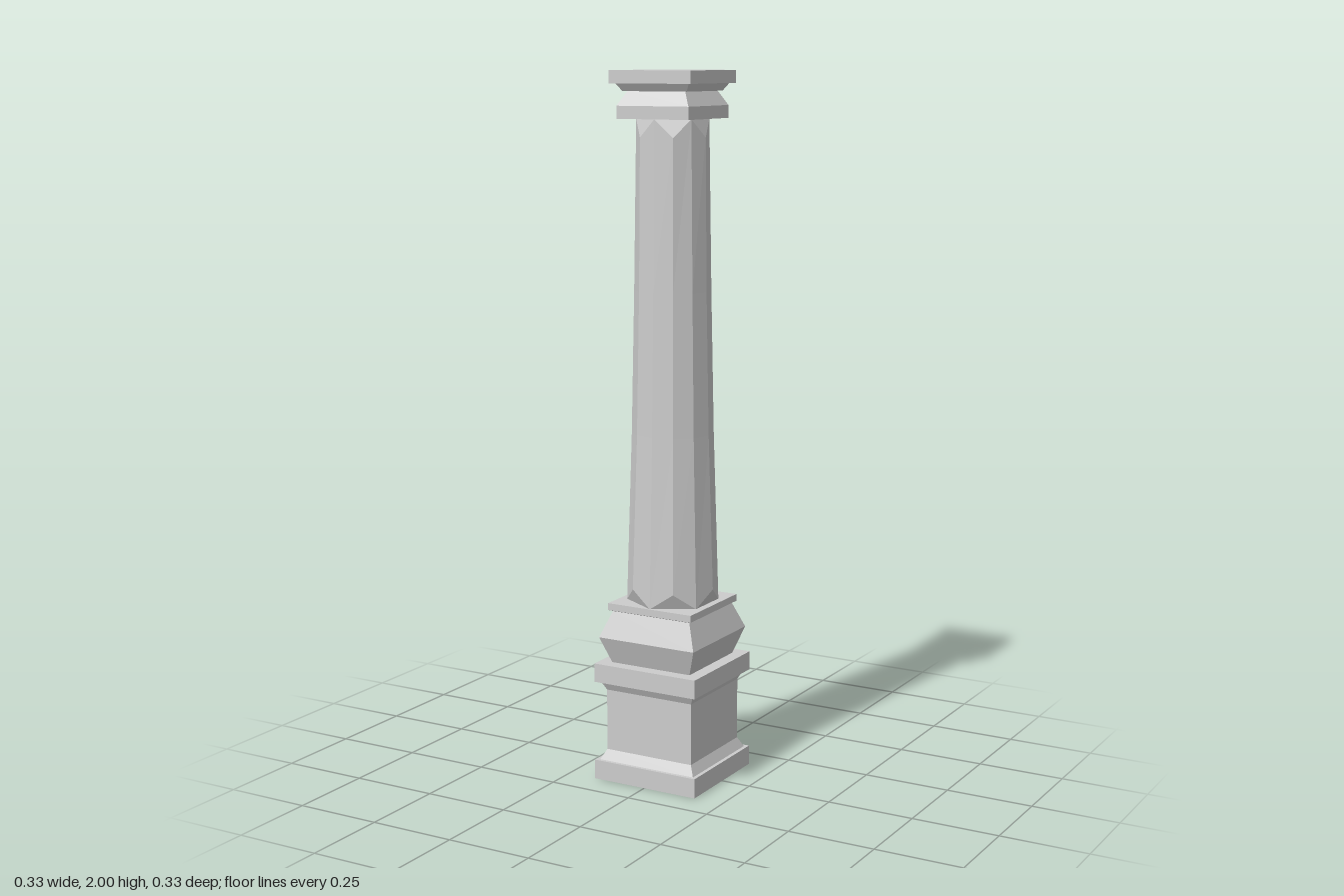
import * as THREE from 'three';

const stone = new THREE.MeshStandardMaterial({ color: 0xcccccc });
stone.name = 'pale stone';

// Square moulding: profile of [half width, height], closed at both ends
function squareMoulding(name, profile) {
  const first = profile[0], last = profile[profile.length - 1];
  const points = [[0, first[1]], ...profile, [0, last[1]]]
    .map(([w, y]) => new THREE.Vector2(w * Math.SQRT2, y));
  const geometry = new THREE.LatheGeometry(points, 4, Math.PI / 4).toNonIndexed();
  geometry.computeVertexNormals();
  const mesh = new THREE.Mesh(geometry, stone);
  mesh.name = name;
  return mesh;
}

// Tapered twelve-sided shaft; every second edge is trimmed short at both ends
function shaft() {
  const sides = 12;
  const rings = [[0.515, 0.13], [1.0, 0.115], [1.4, 0.107], [1.87, 0.1]];
  const point = (column, ring) => {
    const i = (column + sides) % sides;
    let [y, r] = rings[ring];
    if (i % 2 === 1) {
      if (ring === 0) y = 0.56;
      if (ring === rings.length - 1) { y = 1.82; r = 0.103; }
    }
    const a = i / sides * Math.PI * 2;
    return [Math.sin(a) * r, y, Math.cos(a) * r];
  };
  const positions = [];
  const triangle = (...corners) => corners.forEach(c => positions.push(...c));
  const top = rings.length - 1;
  for (let i = 0; i < sides; i++) {
    for (let k = 0; k < top; k++) {
      const a = point(i, k), b = point(i + 1, k);
      const c = point(i + 1, k + 1), d = point(i, k + 1);
      triangle(a, b, c);
      triangle(a, c, d);
    }
    // Triangular chamfers at the trimmed edges
    if (i % 2 === 1) {
      triangle(point(i - 1, 0), point(i + 1, 0), point(i, 0));
      triangle(point(i - 1, top), point(i, top), point(i + 1, top));
    }
  }
  const geometry = new THREE.BufferGeometry();
  geometry.setAttribute('position', new THREE.Float32BufferAttribute(positions, 3));
  geometry.computeVertexNormals();
  const mesh = new THREE.Mesh(geometry, stone);
  mesh.name = 'shaft';
  return mesh;
}

export function createModel() {
  const column = new THREE.Group();
  column.name = 'column';
  column.add(
    // Plinth, waisted block and projecting cornice
    squareMoulding('pedestal', [
      [0.163, 0], [0.163, 0.056], [0.152, 0.056], [0.137, 0.085],
      [0.137, 0.262], [0.15, 0.288], [0.163, 0.288], [0.163, 0.342],
    ]),
    // Flared moulding under the shaft
    squareMoulding('shaftBase', [
      [0.126, 0.342], [0.153, 0.418], [0.124, 0.492],
      [0.134, 0.496], [0.134, 0.516],
    ]),
    shaft(),
    // Stepped capital
    squareMoulding('capital', [
      [0.112, 1.87], [0.112, 1.905], [0.09, 1.944], [0.1, 1.944],
      [0.114, 1.965], [0.127, 1.965], [0.127, 2],
    ]),
  );
  return column;
}
